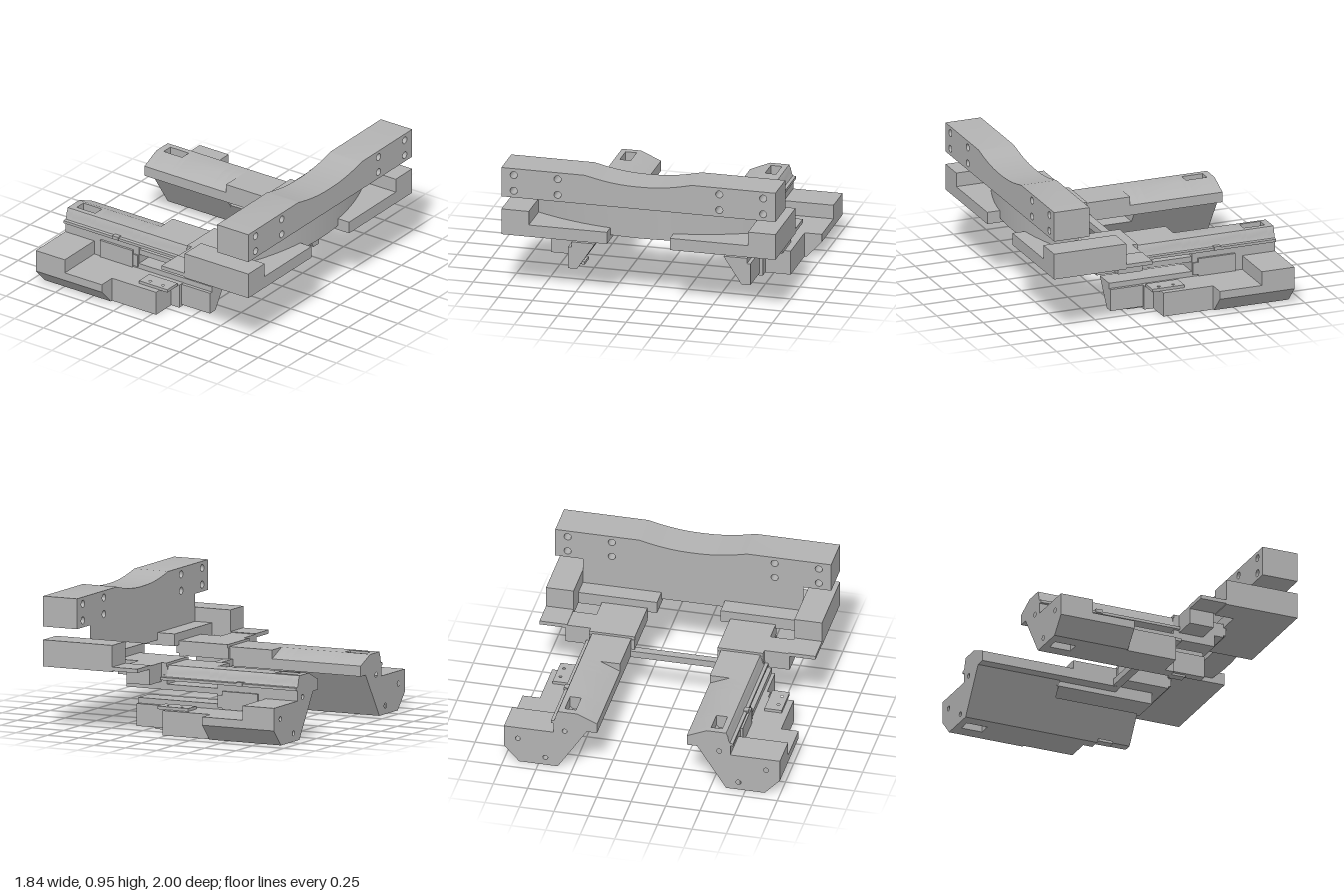
import * as THREE from 'three';
import { toCreasedNormals } from 'three/addons/utils/BufferGeometryUtils.js';

export function createModel() {
  const model = new THREE.Group();
  const grey = new THREE.MeshStandardMaterial({ color: 0xb2b2b2 });
  grey.name = 'machined grey';

  const add = (name, geo) => {
    const m = new THREE.Mesh(geo, grey);
    m.name = name;
    model.add(m);
    return m;
  };
  const extrude = (shape, depth) =>
    toCreasedNormals(new THREE.ExtrudeGeometry(shape, { depth, bevelEnabled: false, curveSegments: 24 }), 0.5);
  // Extrudes a (z, y) section along x; s is the side of the model
  const along = (name, s, x0, x1, pts, holes = []) => {
    const shape = new THREE.Shape(pts.map(([z, y]) => new THREE.Vector2(-s * z, y)));
    for (const [z, y, r] of holes) {
      shape.holes.push(new THREE.Path().absarc(-s * z, y, r, 0, Math.PI * 2, true));
    }
    add(name, extrude(shape, x1 - x0).rotateY(Math.PI / 2).translate(x0, 0, 0));
  };
  const box = (name, s, x0, x1, y0, y1, z0, z1) =>
    add(name, new THREE.BoxGeometry(x1 - x0, y1 - y0, z1 - z0)
      .translate((x0 + x1) / 2, (y0 + y1) / 2, s * (z0 + z1) / 2));

  // Cross beam with a dished top and bolt holes
  const beam = new THREE.Shape();
  beam.moveTo(-1, 0.73);
  beam.lineTo(1, 0.73);
  beam.lineTo(1, 0.947);
  beam.lineTo(0.39, 0.947);
  beam.bezierCurveTo(0.22, 0.905, 0.12, 0.897, 0, 0.897);
  beam.bezierCurveTo(-0.12, 0.897, -0.22, 0.905, -0.39, 0.947);
  beam.lineTo(-1, 0.947);
  for (const z of [-0.91, -0.59, 0.59, 0.91]) {
    for (const y of [0.78, 0.898]) {
      beam.holes.push(new THREE.Path().absarc(z, y, 0.026, 0, Math.PI * 2, true));
    }
  }
  add('crossBeam', extrude(beam, 0.27).rotateY(Math.PI / 2).translate(0.645, 0, 0));

  // Bowed web beneath the beam
  const web = new THREE.Shape();
  const R = 1.78, half = Math.asin(0.8 / R);
  web.moveTo(0.645, -0.8);
  web.absarc(0.835 - R, 0, R, -half, half, false);
  web.lineTo(0.645, 0.8);
  add('bowedWeb', extrude(web, 0.25).rotateX(-Math.PI / 2).translate(0, 0.48, 0));

  // Tie bar between the arms
  box('tieBar', 1, 0.095, 0.155, 0.323, 0.372, -0.42, 0.42);

  // Upper part of the arm section, from the outer rail over the top to the inner lip
  const railSide = [[0.64, 0.355], [0.66, 0.355], [0.66, 0.375], [0.637, 0.378], [0.628, 0.40], [0.622, 0.43], [0.61, 0.458]];
  const slopedTop = [[0.47, 0.458], [0.325, 0.395], [0.325, 0.32], [0.40, 0.32]];
  const flatTop = [[0.325, 0.458], [0.325, 0.32], [0.40, 0.32]];
  const slot = [[0.57, 0.458], [0.57, 0.38], [0.55, 0.36], [0.51, 0.36], [0.49, 0.38], [0.49, 0.458]];
  const bottomSlot = [[0.70, 0], [0.70, 0.1], [0.79, 0.1], [0.79, 0]];
  const tall = [[0.89, 0], [1, 0.118], [1, 0.28], [0.64, 0.28]];
  const low = [[0.89, 0], [1, 0.118], [1, 0.177], [0.64, 0.177]];
  const narrow = [[0.875, 0], [0.875, 0.177], [0.64, 0.177]];
  const foot = [0.61, 0];

  for (const s of [1, -1]) {
    // Arm, in lengths of constant section
    along('armEnd', s, -0.92, -0.87, [foot, ...tall, ...railSide, ...slopedTop],
      [[0.56, 0.3, 0.018], [0.70, 0.06, 0.018], [0.9, 0.19, 0.018]]);
    along('armSlotted', s, -0.87, -0.71, [foot, ...bottomSlot, ...tall, ...railSide, ...slot, ...slopedTop]);
    along('armShoulder', s, -0.71, -0.67, [foot, ...tall, ...railSide, ...slopedTop]);
    along('armMiddle', s, -0.67, -0.35, [foot, ...low, ...railSide, ...slopedTop]);
    along('armNeck', s, -0.35, -0.285, [foot, ...narrow, ...railSide, ...slopedTop]);
    along('armUpper', s, -0.285, -0.215, [...railSide, ...slopedTop]);
    along('armUpperFlat', s, -0.215, 0.125, [...railSide, ...flatTop]);
    along('armLower', s, -0.285, 0.03, [foot, ...narrow, [0.64, 0.215], [0.469, 0.215]]);
    along('armLowerTip', s, 0.03, 0.1, [foot, [0.69, 0], [0.69, 0.177], [0.64, 0.177], [0.64, 0.215], [0.469, 0.215]]);
    along('tipBlock', s, 0.1, 0.347, [[0.6, 0.015], [0.665, 0.015], [0.665, 0.175], [0.64, 0.175], [0.64, 0.215], [0.469, 0.215]]);
    box('tipPad', s, 0.1, 0.21, 0, 0.02, 0.58, 0.64);
    box('railTail', s, 0.125, 0.16, 0.355, 0.375, 0.6, 0.66);

    // Fittings along the outer side of the arm
    box('sideBlock', s, -0.61, -0.33, 0.18, 0.31, 0.6, 0.657);
    box('sideLatch', s, -0.33, -0.29, 0.19, 0.28, 0.57, 0.65);
    box('railStop', s, -0.495, -0.445, 0.36, 0.385, 0.62, 0.668);
    const plate = new THREE.Shape([[-0.15, 0.705], [0.095, 0.705], [0.095, 0.83], [-0.15, 0.83]]
      .map(([x, z]) => new THREE.Vector2(x, -s * z)));
    for (const x of [-0.08, 0.03]) {
      plate.holes.push(new THREE.Path().absarc(x, -s * 0.79, 0.011, 0, Math.PI * 2, true));
    }
    add('coverPlate', extrude(plate, 0.022).rotateX(-Math.PI / 2).translate(0, 0.176, 0));

    // Stepped bridge joining arm and beam
    box('slideBar', s, -0.3, 0.44, 0.285, 0.325, 0.42, 0.635);
    box('bridgeLower', s, 0.12, 0.44, 0.32, 0.375, 0.42, 0.635);
    box('bridgeMiddle', s, 0.12, 0.51, 0.37, 0.39, 0.3, 0.635);
    box('bridgeUpper', s, 0.12, 0.53, 0.387, 0.45, 0.3, 0.63);
    box('bridgeTop', s, 0.125, 0.51, 0.45, 0.475, 0.3, 0.63);
    box('bridgeSide', s, 0.165, 0.35, 0.34, 0.475, 0.63, 0.813);
    box('wingPlate', s, 0.165, 0.365, 0.452, 0.48, 0.8, 1);

    // Mounting foot under the beam
    box('mountEar', s, 0.365, 0.915, 0.445, 0.635, 0.8, 1);
    box('mountLedge', s, 0.51, 0.915, 0.445, 0.533, 0.23, 0.8);
  }
  return model;
}
